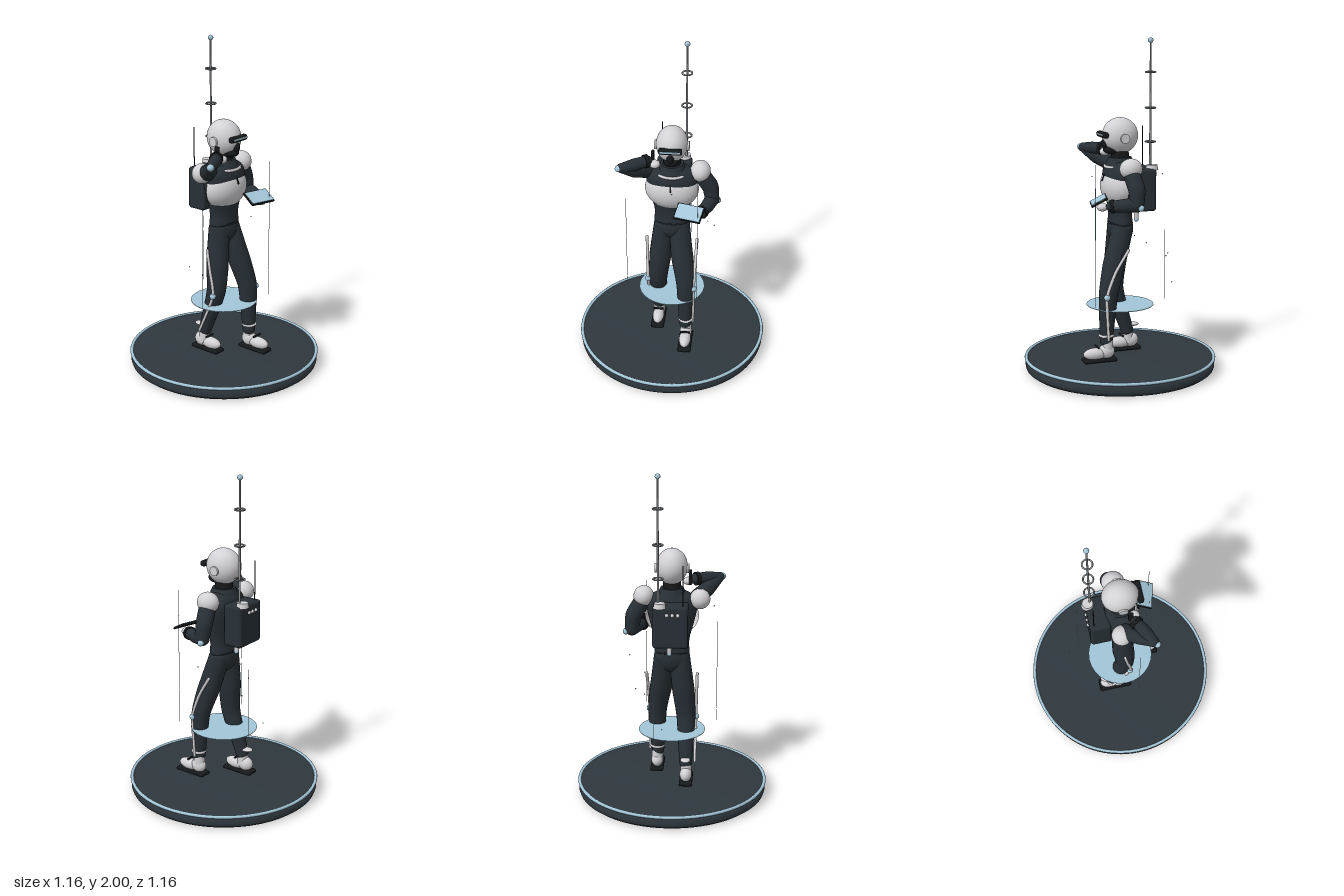
import * as THREE from 'three';
import { RoundedBoxGeometry } from 'three/addons/geometries/RoundedBoxGeometry.js';

const mat = (name, color, side = THREE.FrontSide) => {
  const m = new THREE.MeshStandardMaterial({ color, side });
  m.name = name;
  return m;
};
const V = (a) => new THREE.Vector3(...a);

export function createModel() {
  const suit = mat('dark suit', 0x283036);
  const deck = mat('deck', 0x2f383e);
  const black = mat('black trim', 0x16191c);
  const shell = mat('light shell', 0xd2d2d6, THREE.DoubleSide);
  const metal = mat('grey metal', 0x8f9498);
  const blue = mat('pale blue', 0xa3c6d8, THREE.DoubleSide);

  const model = new THREE.Group();
  model.name = 'explorer';

  // Shared helpers
  const add = (name, geometry, material, p = [0, 0, 0], s = [1, 1, 1], r = [0, 0, 0]) => {
    const mesh = new THREE.Mesh(geometry, material);
    mesh.name = name;
    mesh.position.set(...p);
    mesh.scale.set(...s);
    mesh.rotation.set(...r);
    model.add(mesh);
    return mesh;
  };
  const ball = (name, material, p, s) =>
    add(name, new THREE.SphereGeometry(1, 32, 22), material, p, Array.isArray(s) ? s : [s, s, s]);
  const box = (name, material, p, size, r) => add(name, new THREE.BoxGeometry(...size), material, p, [1, 1, 1], r);
  const cyl = (name, material, p, r0, r1, h, r) =>
    add(name, new THREE.CylinderGeometry(r0, r1, h, 28), material, p, [1, 1, 1], r);
  const ring = (name, material, p, radius, tube, s = [1, 1, 1]) =>
    add(name, new THREE.TorusGeometry(radius, tube, 10, 64).rotateX(Math.PI / 2), material, p, s);

  // Tapered tube through points, with a rounded cap on each end
  const limb = (name, material, points, radii, tension = 0.3) => {
    const curve = new THREE.CatmullRomCurve3(points.map(V), false, 'catmullrom', tension);
    const steps = 28, sides = 20;
    const geo = new THREE.TubeGeometry(curve, steps, 1, sides);
    const pos = geo.attributes.position, v = new THREE.Vector3();
    for (let i = 0; i <= steps; i++) {
      const c = curve.getPointAt(i / steps);
      const f = (i / steps) * (radii.length - 1), k = Math.min(Math.floor(f), radii.length - 2);
      const r = THREE.MathUtils.lerp(radii[k], radii[k + 1], f - k);
      for (let j = 0; j <= sides; j++) {
        const n = i * (sides + 1) + j;
        v.fromBufferAttribute(pos, n).sub(c).multiplyScalar(r).add(c);
        pos.setXYZ(n, v.x, v.y, v.z);
      }
    }
    geo.computeVertexNormals();
    add(name, geo, material);
    ball(name + 'Start', material, points[0], radii[0]);
    ball(name + 'End', material, points.at(-1), radii.at(-1));
  };
  // Straight rod between two points
  const rod = (name, material, a, b, r0, r1 = r0) => {
    const d = V(b).sub(V(a));
    const m = cyl(name, material, V(a).addScaledVector(d, 0.5).toArray(), r1, r0, d.length());
    m.quaternion.setFromUnitVectors(new THREE.Vector3(0, 1, 0), d.normalize());
  };

  // Round stand and glowing rim
  const standProfile = [[0, 0], [0.55, 0], [0.57, 0.015], [0.575, 0.03], [0.575, 0.08], [0, 0.08]];
  add('stand', new THREE.LatheGeometry(standProfile.map((p) => new THREE.Vector2(...p)), 96).toNonIndexed(), deck);
  ring('standRim', blue, [0, 0.078, 0], 0.571, 0.01);

  // Floating ring disc and light beams
  cyl('scanDisc', blue, [0, 0.4, 0], 0.203, 0.203, 0.003);
  for (const [x, z, top] of [[-0.27, 0.065, 1.07], [0.17, 0.21, 1.28], [0.095, -0.25, 0.86]])
    rod('lightBeam', blue, [x, 0.435, z], [x, top, z], 0.0015);

  // Drifting specks
  const specks = [[0.04, 0.52, -0.32], [0.2, 0.74, -0.23], [0.145, 0.71, -0.24], [0.255, 0.87, 0.0],
    [0.155, 0.8, -0.11], [-0.25, 1.19, -0.01], [0.05, 1.19, -0.25], [0.015, 1.19, 0.18]];
  for (const p of specks) add('speck', new THREE.OctahedronGeometry(0.005), metal, p);

  // Legs: hip, knee and ankle for each side, with boots and outer braces
  const legs = [
    { s: 1, x: 0.1, knee: [0.095, 0.49, 0.105], ankle: [0.095, 0.21, 0.12], foot: 0.165 },
    { s: -1, x: -0.09, knee: [-0.085, 0.48, 0.01], ankle: [-0.088, 0.21, -0.075], foot: -0.055 },
  ];
  for (const { s, x, knee, ankle, foot } of legs) {
    const side = s > 0 ? 'left' : 'right';
    const mid = [s * 0.065, 0.69, knee[2] * 0.5];
    limb(side + 'Leg', suit, [[s * 0.045, 0.87, 0], mid, knee, ankle], [0.063, 0.068, 0.054, 0.039]);
    cyl(side + 'BootShaft', shell, [x, 0.17, ankle[2] - 0.005], 0.032, 0.036, 0.08);
    ball(side + 'BootHeel', shell, [x, 0.142, foot - 0.045], [0.037, 0.045, 0.05]);
    ball(side + 'BootToe', shell, [x, 0.132, foot + 0.025], [0.036, 0.036, 0.075]);
    add(side + 'Sole', new RoundedBoxGeometry(0.08, 0.022, 0.205, 3, 0.01), black, [x, 0.094, foot]);
    rod(side + 'BootStrap', black, [x - 0.032, 0.175, foot + 0.015], [x + 0.032, 0.175, foot + 0.015], 0.006);
    // Brace strips and knee joint
    const joint = [s * 0.145, knee[1] - 0.01, knee[2] + 0.025];
    limb(side + 'Brace', shell, [[s * 0.153, 0.76, 0.0], [s * 0.149, 0.63, knee[2] * 0.65 + 0.01], joint,
      [s * 0.143, 0.22, ankle[2]]], [0.009, 0.009, 0.009, 0.008]);
    ball(side + 'KneeJoint', blue, joint, 0.019);
  }
  ring('leftAnkleBand', shell, [0.098, 0.24, 0.12], 0.039, 0.008);
  ball('rightHeelGuard', shell, [-0.088, 0.24, -0.11], [0.03, 0.012, 0.04]);

  // Torso and pelvis
  const torso = [[0, 0.89], [0.098, 0.89], [0.102, 0.95], [0.108, 1.0], [0.13, 1.08], [0.148, 1.16],
    [0.148, 1.21], [0.125, 1.25], [0.085, 1.275], [0.055, 1.285], [0, 1.29]];
  add('torso', new THREE.LatheGeometry(new THREE.SplineCurve(torso.map((p) => new THREE.Vector2(...p))).getPoints(50), 40),
    suit, [0, 0, 0], [1, 1, 0.66]);
  ball('pelvis', suit, [0, 0.87, 0], [0.102, 0.1, 0.076]);
  ring('belt', black, [0, 0.905, 0], 0.097, 0.007, [1, 1, 0.7]);

  // Chest shell, neck ring and front seam
  add('chestShell', new THREE.SphereGeometry(1, 40, 28, 0, Math.PI, 0, Math.PI * 0.82), shell,
    [0, 1.125, 0], [0.16, 0.13, 0.114]);
  box('chestSeam', black, [0, 1.19, 0.1], [0.008, 0.07, 0.008], [-0.4, 0, 0]);
  ring('neckRing', shell, [0, 1.243, 0.012], 0.092, 0.009, [1, 1, 0.85]);
  cyl('collar', suit, [0, 1.27, 0], 0.068, 0.092, 0.055);
  cyl('neck', black, [0, 1.32, 0], 0.05, 0.055, 0.08);

  // Helmet, visor, mask and ear discs
  ball('helmet', shell, [0, 1.425, 0], [0.093, 0.108, 0.109]);
  add('visor', new RoundedBoxGeometry(0.138, 0.034, 0.036, 3, 0.012), black, [0, 1.434, 0.108]);
  box('visorStripe', blue, [0, 1.436, 0.127], [0.118, 0.01, 0.004]);
  ball('breather', black, [0, 1.382, 0.092], [0.022, 0.032, 0.026]);
  ball('chinGuard', black, [0, 1.345, 0.05], [0.045, 0.03, 0.055]);
  for (const s of [-1, 1]) cyl('earDisc', shell, [s * 0.092, 1.415, 0], 0.028, 0.028, 0.02, [0, 0, Math.PI / 2]);

  // Left arm, bent forward under the tablet
  ball('leftShoulder', shell, [0.167, 1.245, -0.01], [0.06, 0.062, 0.068]);
  limb('leftUpperArm', suit, [[0.172, 1.22, -0.01], [0.225, 1.13, -0.025], [0.238, 1.045, -0.02]], [0.05, 0.05, 0.043]);
  limb('leftForearm', suit, [[0.238, 1.045, -0.02], [0.215, 1.04, 0.05], [0.185, 1.035, 0.115]], [0.043, 0.04, 0.033]);
  rod('leftCuff', black, [0.192, 1.037, 0.1], [0.182, 1.034, 0.12], 0.04);
  ball('leftElbow', blue, [0.272, 1.03, -0.035], 0.019);
  ball('leftHand', shell, [0.15, 1.028, 0.16], [0.034, 0.024, 0.034]);

  // Tablet with bright screen
  const tablet = new THREE.Group();
  tablet.name = 'tablet';
  const frame = new THREE.Mesh(new THREE.BoxGeometry(0.162, 0.012, 0.105), black);
  frame.name = 'tabletFrame';
  const screen = new THREE.Mesh(new THREE.BoxGeometry(0.152, 0.003, 0.096), blue);
  screen.name = 'tabletScreen';
  screen.position.y = 0.0075;
  tablet.add(frame, screen);
  tablet.rotation.set(0.48, -0.25, 0, 'YXZ');
  tablet.position.set(0.117, 1.062, 0.172);
  model.add(tablet);

  // Right arm, raised with the hand at the helmet
  ball('rightShoulder', shell, [-0.168, 1.235, -0.025], [0.06, 0.06, 0.06]);
  limb('rightUpperArm', suit, [[-0.155, 1.24, 0.0], [-0.215, 1.28, 0.075], [-0.28, 1.328, 0.142]], [0.05, 0.045, 0.028]);
  limb('rightForearm', suit, [[-0.28, 1.33, 0.142], [-0.21, 1.332, 0.105], [-0.14, 1.335, 0.062]], [0.026, 0.036, 0.033]);
  rod('rightCuff', black, [-0.155, 1.335, 0.07], [-0.135, 1.335, 0.058], 0.04);
  ball('rightElbow', blue, [-0.295, 1.33, 0.153], 0.02);
  ball('rightHand', shell, [-0.095, 1.32, 0.065], [0.033, 0.024, 0.03]);
  add('handset', new RoundedBoxGeometry(0.018, 0.09, 0.03, 2, 0.006), black, [-0.108, 1.35, 0.04]);

  // Backpack with buttons and lower nozzle
  add('backpack', new RoundedBoxGeometry(0.21, 0.255, 0.125, 4, 0.018), suit, [0, 1.103, -0.134]);
  for (let i = 0; i < 3; i++) ball('packButton', shell, [-0.045 + i * 0.032, 1.18, -0.197], 0.011);
  cyl('packNozzle', shell, [0.01, 0.95, -0.1], 0.016, 0.014, 0.06);
  ball('nozzleTip', blue, [0.01, 0.915, -0.1], 0.014);

  // Tall mast with rings, and a short whip aerial
  const mx = 0.071, mz = -0.165;
  cyl('mastFoot', shell, [mx - 0.01, 1.235, mz - 0.015], 0.032, 0.038, 0.03);
  rod('mast', metal, [mx, 1.22, mz], [mx, 1.98, mz], 0.007, 0.005);
  for (const y of [1.39, 1.59, 1.8]) ring('mastRing', metal, [mx, y, mz], 0.029, 0.005);
  ball('mastTip', blue, [mx, 1.984, mz], 0.016);
  rod('whipAerial', black, [-0.074, 1.22, -0.17], [-0.074, 1.47, -0.17], 0.003);

  return model;
}
